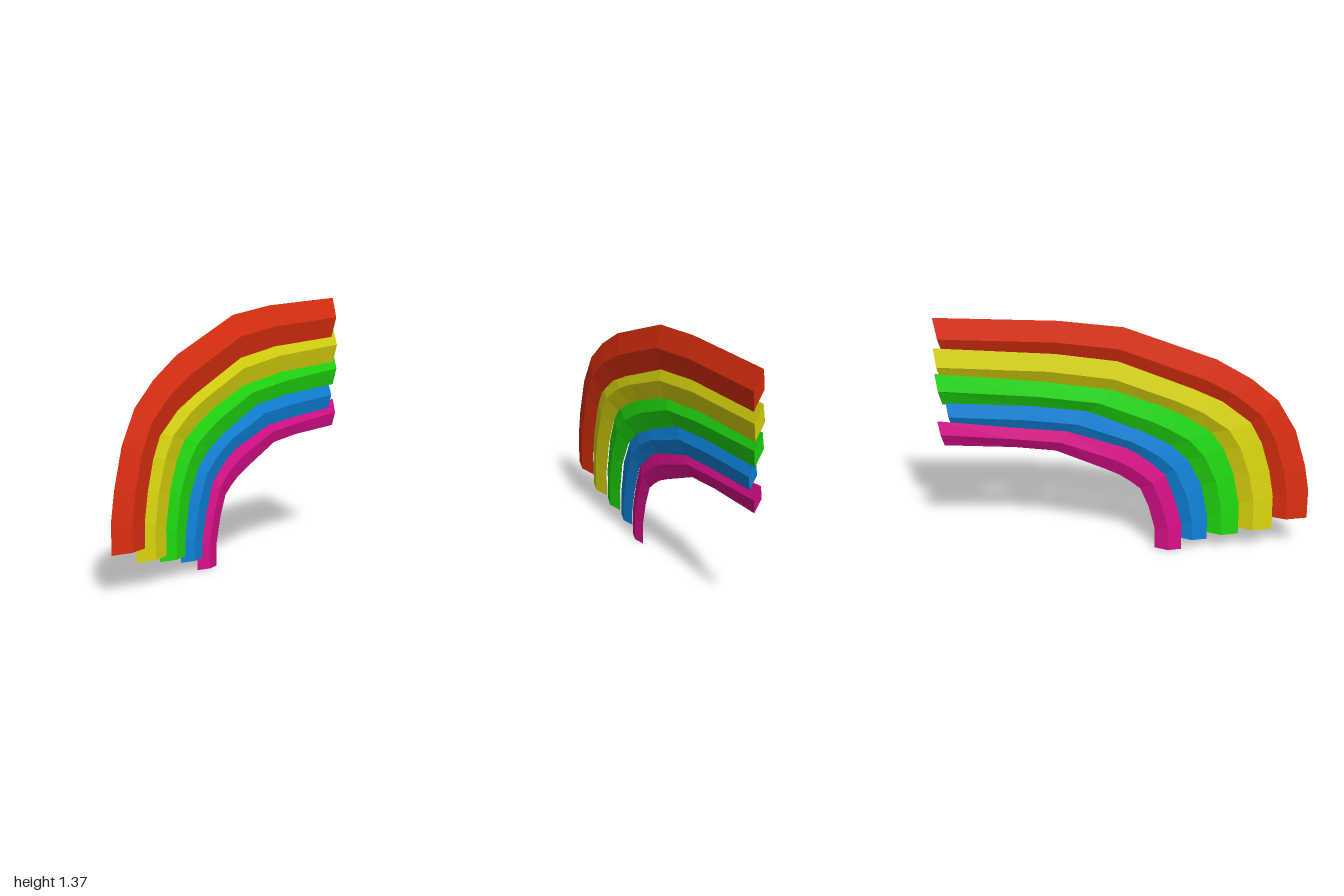
import * as THREE from 'three';

// Rims between the bands, from the foot of the arch to its cut end (x, y pairs)
const rimA = [-1, .2, -1, .37, -.975, .52, -.915, .73, -.815, .905, -.67, 1.03, -.485, 1.14, 0, 1.32, .34, 1.355, .985, 1.37];
const rimB = [-.77, .2, -.77, .33, -.745, .48, -.7, .64, -.645, .75, -.5, .865, -.35, .935, .04, 1.09, .36, 1.13, .94, 1.147];
const rimC = [-.6, .13, -.6, .28, -.565, .465, -.51, .61, -.445, .705, -.31, .79, -.195, .845, .07, .94, .425, .985, .96, 1];
const rimD = [-.44, .1, -.44, .2, -.405, .395, -.33, .545, -.24, .63, -.16, .675, -.09, .71, .195, .825, .49, .855, .96, .87];
const rimE = [-.295, .065, -.295, .15, -.26, .295, -.205, .45, -.14, .51, -.07, .565, 0, .605, .305, .7, .57, .72, .915, .735];
const rimF = [-.17, 0, -.17, .12, -.135, .26, -.09, .37, -.035, .415, .025, .455, .1, .49, .365, .6, .585, .62, .96, .63];

const toPoints = (rim) => {
  const points = [];
  for (let i = 0; i < rim.length; i += 2) points.push(new THREE.Vector2(rim[i], rim[i + 1]));
  return points;
};

// Outer edge of a band: the rim above it pushed outwards so the bands overlap
function overlapRim(rim, lap, endLap, footY, endX) {
  const last = rim.length - 1;
  const edge = rim.map((p, i) => {
    const along = rim[Math.min(i + 1, last)].clone().sub(rim[Math.max(i - 1, 0)]).normalize();
    const push = i === last ? endLap : lap;
    return new THREE.Vector2(p.x - along.y * push, p.y + along.x * push);
  });
  edge[0].y = footY;
  edge[last].x = endX;
  return edge;
}

// Diamond cross-section swept between the outer and inner edges, with end caps
function bandGeometry(outer, inner, depth) {
  const sections = outer.map((o, i) => {
    const n = inner[i];
    const mid = o.clone().lerp(n, 0.5);
    return [
      [o.x, o.y, -0.25 * depth],
      [mid.x, mid.y, depth],
      [n.x, n.y, 0.45 * depth],
      [mid.x, mid.y, -0.95 * depth],
    ];
  });
  const pos = [];
  const quad = (a, b, c, d) => pos.push(...a, ...b, ...c, ...a, ...c, ...d);
  for (let i = 0; i < sections.length - 1; i++) {
    const s = sections[i], t = sections[i + 1];
    for (let k = 0; k < 4; k++) {
      const m = (k + 1) % 4;
      quad(s[k], s[m], t[m], t[k]);
    }
  }
  const first = sections[0], end = sections[sections.length - 1];
  quad(first[3], first[2], first[1], first[0]);
  quad(end[0], end[1], end[2], end[3]);
  const geometry = new THREE.BufferGeometry();
  geometry.setAttribute('position', new THREE.Float32BufferAttribute(pos, 3));
  geometry.computeVertexNormals();
  return geometry;
}

export function createModel() {
  const group = new THREE.Group();
  group.name = 'rainbow';
  const bands = [
    { name: 'redBand', color: 0xe0300f, top: rimA, bottom: rimB, lap: 0, endLap: 0, endX: .985, depth: .031 },
    { name: 'yellowBand', color: 0xdcd80e, top: rimB, bottom: rimC, lap: .04, endLap: .053, endX: .99, depth: .03 },
    { name: 'greenBand', color: 0x20dc10, top: rimC, bottom: rimD, lap: .027, endLap: .055, endX: .99, depth: .028 },
    { name: 'blueBand', color: 0x0f84dc, top: rimD, bottom: rimE, lap: .016, endLap: .016, endX: .94, depth: .024 },
    { name: 'pinkBand', color: 0xdc0f8c, top: rimE, bottom: rimF, lap: .022, endLap: .045, endX: .99, depth: .022 },
  ];
  for (const b of bands) {
    const inner = toPoints(b.bottom);
    const outer = overlapRim(toPoints(b.top), b.lap, b.endLap, inner[0].y, b.endX);
    const material = new THREE.MeshStandardMaterial({ color: b.color, flatShading: true });
    const mesh = new THREE.Mesh(bandGeometry(outer, inner, b.depth), material);
    mesh.name = b.name;
    group.add(mesh);
  }
  return group;
}
